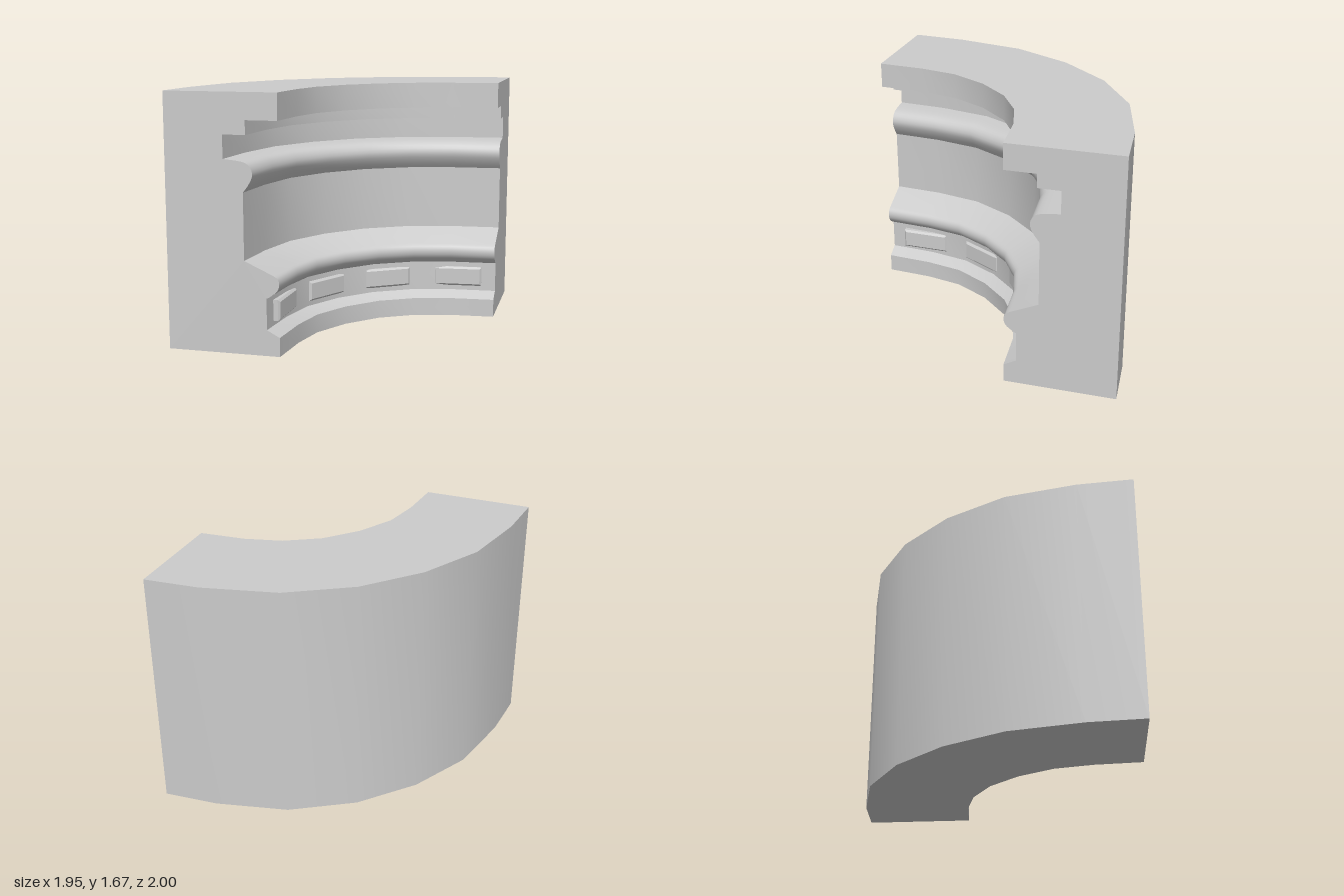
import * as THREE from 'three';
import { mergeGeometries, toCreasedNormals } from 'three/addons/utils/BufferGeometryUtils.js';

const HEIGHT = 1.67;
const CENTRE = new THREE.Vector2(0.8, 0.75); // axis of the ring in x, z

// Plan stations around the ring: inner x, z and outer x, z
const STATIONS = [
  [-0.225, 1.0, -0.975, 1.0],
  [-0.2, 0.68, -0.945, 0.63],
  [-0.145, 0.42, -0.84, 0.15],
  [-0.01, 0.175, -0.615, -0.26],
  [0.18, -0.03, -0.3, -0.6],
  [0.41, -0.165, 0.11, -0.85],
  [0.66, -0.23, 0.6, -0.97],
  [0.97, -0.255, 0.97, -1.0],
];

const v2 = (x, y) => new THREE.Vector2(x, y);
const curve = (pts, n) => new THREE.SplineCurve(pts.map(p => v2(...p))).getPoints(n);

// Moulding section as depth into the wall and height
function sectionPoints() {
  const inside = [
    v2(0, 0), v2(0, 0.125), v2(0.085, 0.17),
    // lower bead
    ...curve([[0.085, 0.375], [0.06, 0.388], [0.015, 0.425], [0, 0.468], [0.011, 0.505], [0.04, 0.525]], 14),
    v2(0.23, 0.61),
    // upper bead
    ...curve([[0.23, 1.045], [0.19, 1.1], [0.167, 1.16], [0.19, 1.215], [0.245, 1.24], [0.36, 1.252]], 14),
    // stepped cornice
    v2(0.36, 1.405), v2(0.21, 1.405), v2(0.21, 1.497), v2(0, 1.497), v2(0, HEIGHT),
  ].map(p => v2(p.x / 0.75, p.y));
  return [...inside, v2(1, HEIGHT), v2(1, 0)];
}

// Place a section point at a station, blending from inner to outer edge
function place([ix, iz, ox, oz], p) {
  return [ix + (ox - ix) * p.x, p.y, iz + (oz - iz) * p.x];
}

function ringGeometry() {
  const section = sectionPoints();
  const n = section.length;

  // Skin swept through the stations
  const pos = [], index = [];
  STATIONS.forEach((s, i) => {
    section.forEach((p, j) => {
      pos.push(...place(s, p));
      if (i === STATIONS.length - 1) return;
      const a = i * n + j, b = i * n + (j + 1) % n;
      index.push(a, a + n, b, b, a + n, b + n);
    });
  });
  const skin = new THREE.BufferGeometry();
  skin.setAttribute('position', new THREE.Float32BufferAttribute(pos, 3));
  skin.setIndex(index);

  // Flat cut faces at both ends
  const caps = [STATIONS[0], STATIONS[STATIONS.length - 1]].map((s, k) => {
    const g = new THREE.ShapeGeometry(new THREE.Shape(section));
    const a = g.attributes.position;
    for (let i = 0; i < a.count; i++) a.setXYZ(i, ...place(s, v2(a.getX(i), a.getY(i))));
    if (k === 0) g.setIndex(Array.from(g.index.array).reverse());
    g.deleteAttribute('normal');
    g.deleteAttribute('uv');
    return g.toNonIndexed();
  });

  return toCreasedNormals(mergeGeometries([skin.toNonIndexed(), ...caps]), THREE.MathUtils.degToRad(32));
}

// Bevelled rectangular panel facing +z, front face at z = 0
function panelGeometry(w, h) {
  const bevel = 0.014, depth = 0.05;
  const x = w / 2 - bevel, y = h / 2 - bevel;
  const g = new THREE.ExtrudeGeometry(
    new THREE.Shape([v2(-x, -y), v2(x, -y), v2(x, y), v2(-x, y)]),
    { depth, bevelEnabled: true, bevelSize: bevel, bevelThickness: bevel, bevelSegments: 1 });
  return g.translate(0, 0, -depth - bevel);
}

export function createModel() {
  const group = new THREE.Group();
  group.name = 'quarterRingMoulding';
  const material = new THREE.MeshStandardMaterial({ color: 0xcccccc });

  const ring = new THREE.Mesh(ringGeometry(), material);
  ring.name = 'mouldedWall';
  group.add(ring);

  // Row of panels on the lower band, each facing the ring axis
  const panel = panelGeometry(0.345, 0.138);
  const radius = 1.053;
  for (let i = 0; i < 4; i++) {
    const a = THREE.MathUtils.degToRad(5.4 + i * 27.7);
    const mesh = new THREE.Mesh(panel, material);
    mesh.name = 'bandPanel' + (i + 1);
    mesh.position.set(CENTRE.x - radius * Math.sin(a), 0.272, CENTRE.y - radius * Math.cos(a));
    mesh.rotation.y = a;
    group.add(mesh);
  }
  return group;
}
